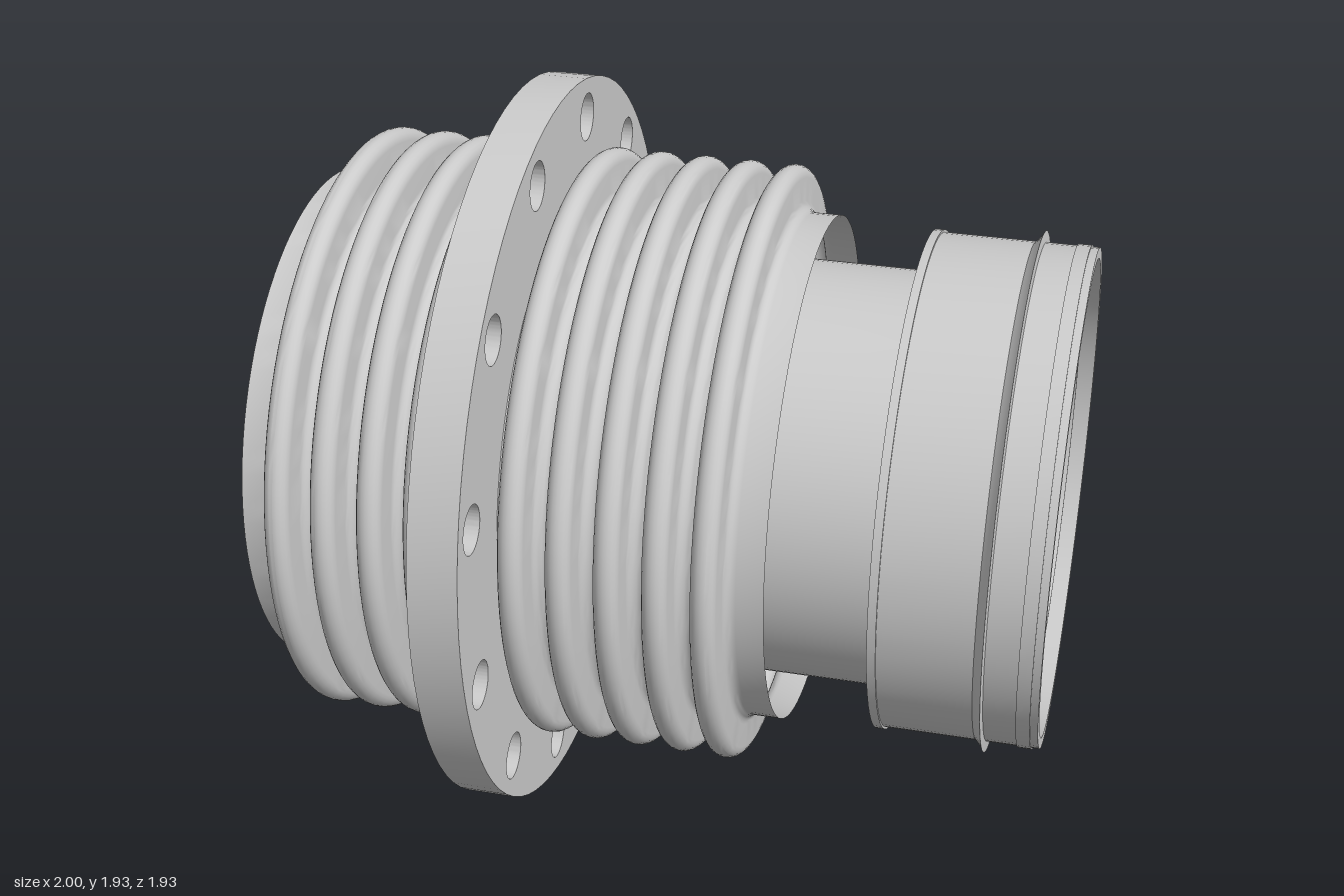
import * as THREE from 'three';
import { toCreasedNormals } from 'three/addons/utils/BufferGeometryUtils.js';

const AXIS_Y = 0.967;
const material = new THREE.MeshStandardMaterial({ color: 0xcccccc, side: THREE.DoubleSide });

// Adds points of an arc; profile points are [position along x, radius]
function arc(points, x, r, size, from, to, steps = 6) {
  for (let i = 0; i <= steps; i++) {
    const a = THREE.MathUtils.degToRad(from + ((to - from) * i) / steps);
    points.push([x + size * Math.cos(a), r + size * Math.sin(a)]);
  }
}

// Revolves a profile around the x axis
function revolve(name, profile) {
  const points = profile.map(([x, r]) => new THREE.Vector2(r, x));
  const geometry = new THREE.LatheGeometry(points, 96);
  geometry.rotateZ(-Math.PI / 2);
  const mesh = new THREE.Mesh(toCreasedNormals(geometry, 0.6), material);
  mesh.name = name;
  return mesh;
}

// Thin corrugated wall with a plain cuff on each end
function bellowsProfile() {
  const pitch = 0.119, base = 0.665, crest = 0.785, crestR = 0.032;
  const valleyR = pitch / 2 - crestR;
  const points = [[-1, base]];
  for (let i = 0; i < 10; i++) {
    const c = -0.87 + i * pitch;
    if (i === 4) continue; // the flange sits in place of this fold
    arc(points, c - pitch / 2, base + valleyR, valleyR, -90, 0);
    arc(points, c, crest - crestR, crestR, 180, 0, 10);
    arc(points, c + pitch / 2, base + valleyR, valleyR, 180, 270);
  }
  points.push([0.33, base]);
  // drop doubled points where neighbouring folds meet
  return points.filter((p, i) => i === 0 ||
    Math.hypot(p[0] - points[i - 1][0], p[1] - points[i - 1][1]) > 1e-4);
}

// Flat ring with twelve bolt holes
function createFlange() {
  const shape = new THREE.Shape().absarc(0, 0, 0.967, 0, Math.PI * 2);
  shape.holes.push(new THREE.Path().absarc(0, 0, 0.655, 0, Math.PI * 2, true));
  for (let i = 0; i < 12; i++) {
    const a = ((i + 0.5) * Math.PI) / 6;
    shape.holes.push(new THREE.Path().absarc(
      0.865 * Math.cos(a), 0.865 * Math.sin(a), 0.062, 0, Math.PI * 2, true));
  }
  const geometry = new THREE.ExtrudeGeometry(shape, {
    depth: 0.125, bevelEnabled: false, curveSegments: 40,
  });
  geometry.rotateY(Math.PI / 2).translate(-0.462, 0, 0);
  const mesh = new THREE.Mesh(toCreasedNormals(geometry, 0.6), material);
  mesh.name = 'boltFlange';
  return mesh;
}

export function createModel() {
  const model = new THREE.Group();
  model.name = 'expansionJoint';
  const body = new THREE.Group();
  body.name = 'jointBody';
  body.position.y = AXIS_Y;
  model.add(body);

  body.add(revolve('bellows', bellowsProfile()));
  body.add(createFlange());
  body.add(revolve('flangeCollar', [
    [-0.475, 0.665], [-0.475, 0.77], [-0.46, 0.77], [-0.46, 0.665], [-0.475, 0.665],
  ]));

  // Liner flares out to the flange at its inner end
  const liner = [[-0.4, 0.66], [-0.4, 0.618]];
  arc(liner, -0.327, 0.618, 0.073, 180, 270, 8);
  liner.push([0.96, 0.545], [0.96, 0.538], [-0.327, 0.538]);
  arc(liner, -0.327, 0.618, 0.08, 270, 180, 8);
  liner.push([-0.407, 0.66], [-0.4, 0.66]);
  body.add(revolve('innerLiner', liner));

  // Sleeve with end bead, sealing lip and a hollow towards the open end
  const sleeve = [
    [0.58, 0.545], [0.58, 0.654], [0.602, 0.654], [0.602, 0.648],
    [0.838, 0.648], [0.85, 0.66], [0.861, 0.677], [0.864, 0.648],
    [0.945, 0.648], [0.945, 0.652], [0.98, 0.652], [0.98, 0.648],
    [1, 0.648], [1, 0.62], [0.59, 0.62],
  ];
  arc(sleeve, 0.65, 0.605, 0.06, 180, 270, 8);
  body.add(revolve('endSleeve', sleeve));

  return model;
}
